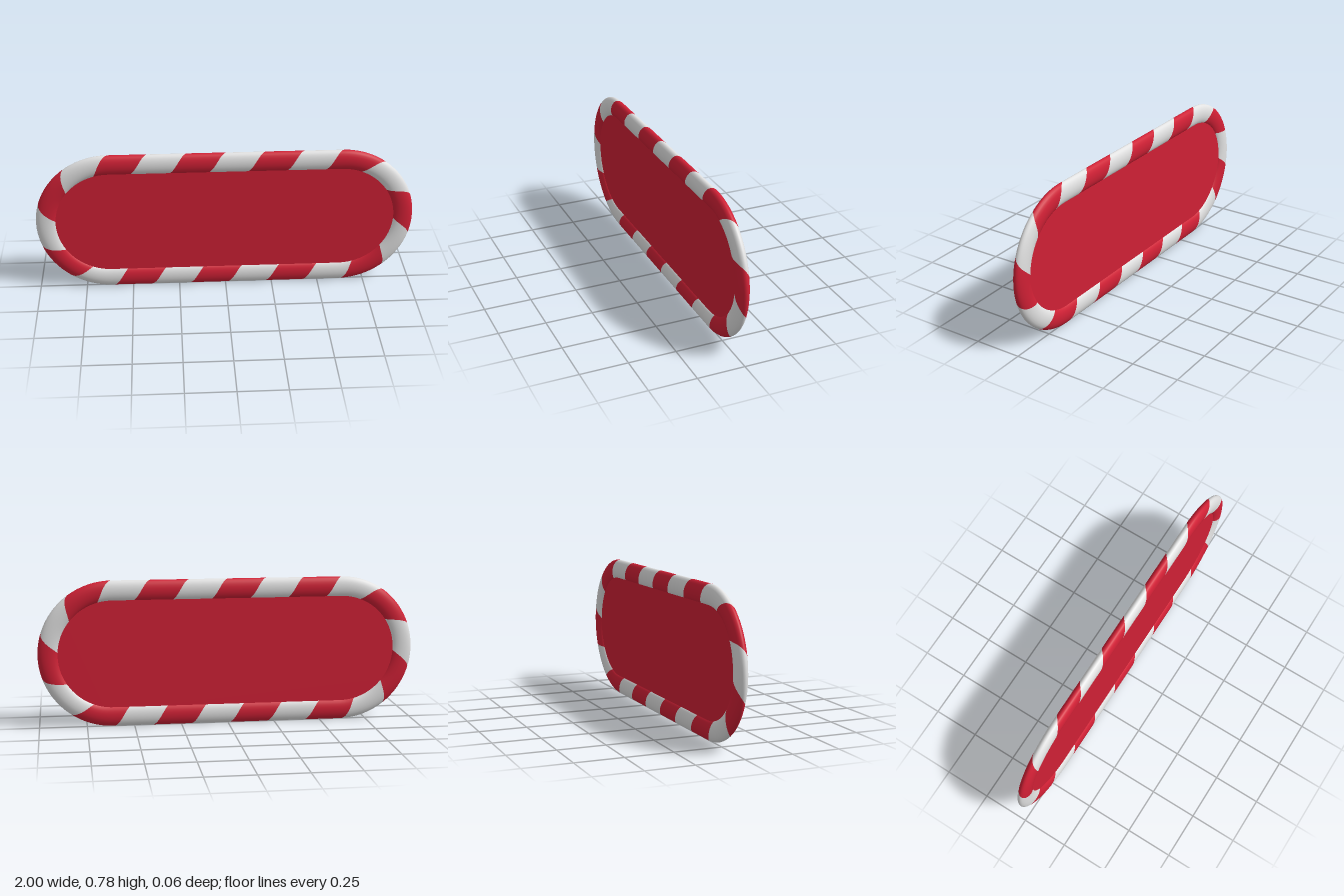
import * as THREE from 'three';

const R = 0.333;        // centreline radius of the rounded ends
const L = 0.612;        // half length of the straight runs
const A = 0.055;        // tube half width
const B = 0.028;        // tube half depth
const CY = R + A;       // height of the centre
const STRIPES = 22;     // 6 on each straight run, 5 on each end

// Point and outward direction on the stadium path, t counted in stripes, clockwise from top left
function path(t) {
  t = ((t % STRIPES) + STRIPES) % STRIPES;
  const half = t >= 11 ? 1 : 0;
  const u = t - half * 11, s = half ? -1 : 1;
  if (u <= 6) return { x: s * (-L + (2 * L * u) / 6), y: s * R, nx: 0, ny: s };
  const a = Math.PI / 2 - (Math.PI * (u - 6)) / 5;
  const nx = s * Math.cos(a), ny = s * Math.sin(a);
  return { x: s * L + R * nx, y: R * ny, nx, ny };
}

// All stripes of one colour, each a slanted band wrapped round the oval tube
function stripes(first) {
  const pos = [], nor = [], idx = [], nu = 8, nv = 24;
  for (let k = first; k < STRIPES; k += 2) {
    const base = pos.length / 3;
    for (let i = 0; i <= nu; i++) {
      for (let j = 0; j <= nv; j++) {
        const f = -Math.PI + (2 * Math.PI * j) / nv;
        const p = path(k + i / nu + (0.5 * f) / Math.PI);
        const c = Math.cos(f), s = Math.sin(f);
        pos.push(p.x + p.nx * A * c, CY + p.y + p.ny * A * c, -B * s);
        const n = new THREE.Vector3((p.nx * c) / A, (p.ny * c) / A, -s / B).normalize();
        nor.push(n.x, n.y, n.z);
        if (i < nu && j < nv) {
          const a = base + i * (nv + 1) + j, b = a + nv + 1;
          idx.push(a, b, b + 1, a, b + 1, a + 1);
        }
      }
    }
  }
  const g = new THREE.BufferGeometry();
  g.setAttribute('position', new THREE.Float32BufferAttribute(pos, 3));
  g.setAttribute('normal', new THREE.Float32BufferAttribute(nor, 3));
  g.setIndex(idx);
  return g;
}

export function createModel() {
  const red = new THREE.MeshStandardMaterial({ color: 0xd02035 });
  red.name = 'candy red';
  const white = new THREE.MeshStandardMaterial({ color: 0xe2e2e2 });
  white.name = 'sugar white';

  const group = new THREE.Group();
  group.name = 'candySign';
  const add = (name, geometry, material) => {
    const mesh = new THREE.Mesh(geometry, material);
    mesh.name = name;
    group.add(mesh);
  };

  // Striped rim
  add('redStripes', stripes(0), red);
  add('whiteStripes', stripes(1), white);

  // Flat panel, its edge tucked into the rim
  const r = 0.31, depth = 0.026;
  const shape = new THREE.Shape();
  shape.absarc(L, CY, r, -Math.PI / 2, Math.PI / 2);
  shape.absarc(-L, CY, r, Math.PI / 2, (3 * Math.PI) / 2);
  shape.closePath();
  const panel = new THREE.ExtrudeGeometry(shape, { depth, bevelEnabled: false, curveSegments: 24 });
  panel.translate(0, 0, -depth / 2);
  add('panel', panel, red);

  return group;
}
